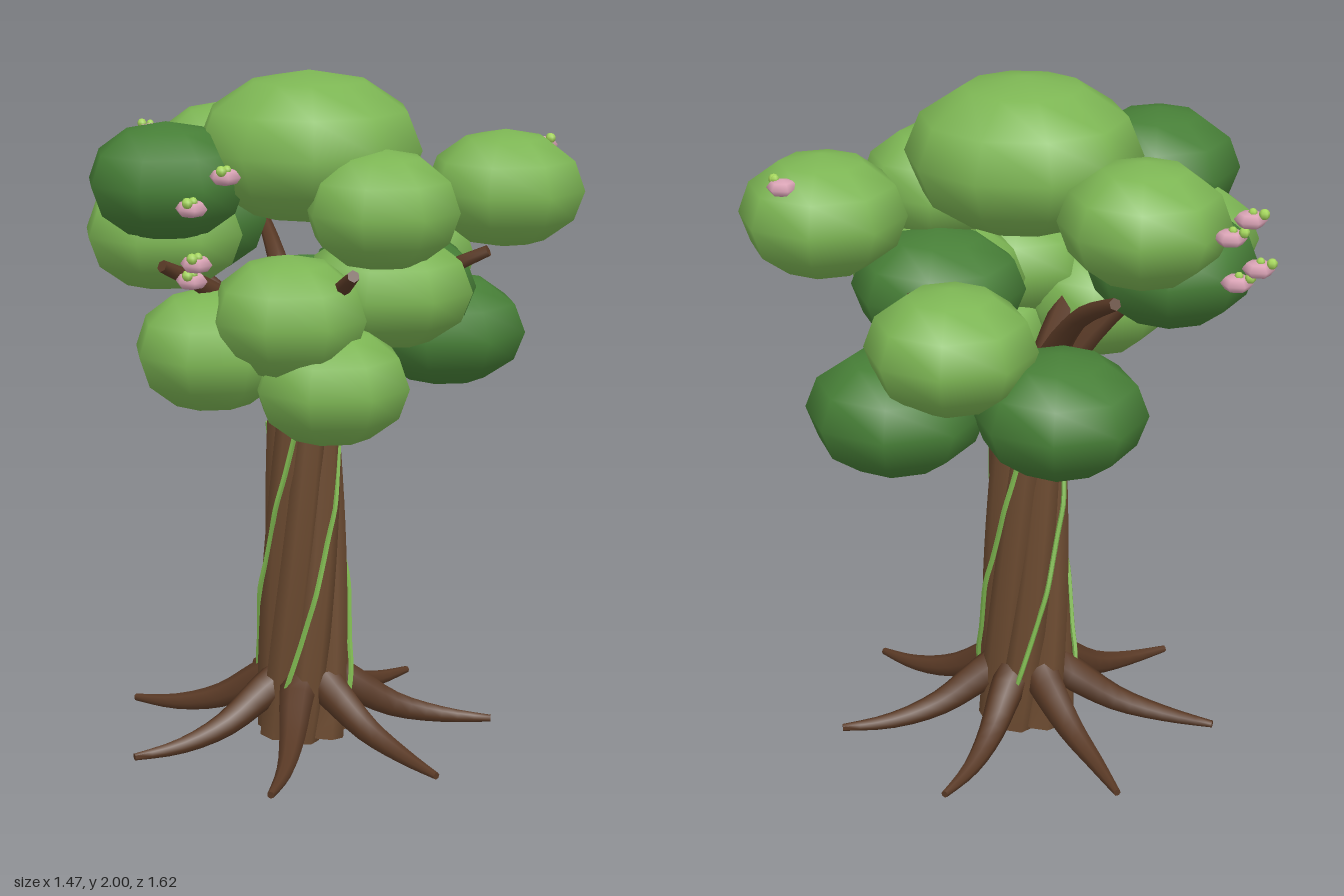
import * as THREE from 'three';
import { toCreasedNormals } from 'three/addons/utils/BufferGeometryUtils.js';

const mat = (color) => new THREE.MeshStandardMaterial({ color });
const bark = mat(0x6b4a30), rootBark = mat(0x5a3a26), leaf = mat(0x7db654), darkLeaf = mat(0x477f37);
const vineGreen = mat(0x7fb850), petal = mat(0xd9a3b5), budGreen = mat(0xa5d65c);

// Trunk axis
const CX = -0.05, CZ = -0.05;

// Point at an angle (0 = front, turning towards +x) and distance from the trunk axis
const polar = (angle, r, y) =>
  new THREE.Vector3(CX + Math.sin(angle) * r, y, CZ + Math.cos(angle) * r);

// Tapered tube with flat closed ends
function taperTube(points, r0, r1, segments, sides) {
  const curve = new THREE.CatmullRomCurve3(points);
  const geo = new THREE.TubeGeometry(curve, segments, 1, sides, false);
  const pos = geo.attributes.position;
  const v = new THREE.Vector3();
  for (let i = 0; i <= segments; i++) {
    const own = curve.getPointAt(i / segments);
    const end = i === 0 || i === segments;
    const centre = i === 0 ? curve.getPointAt(1 / segments)
      : i === segments ? curve.getPointAt(1 - 1 / segments) : own;
    const r = end ? 0 : THREE.MathUtils.lerp(r0, r1, i / segments);
    for (let j = 0; j <= sides; j++) {
      const k = i * (sides + 1) + j;
      v.fromBufferAttribute(pos, k).sub(own).multiplyScalar(r).add(centre);
      pos.setXYZ(k, v.x, v.y, v.z);
    }
  }
  return toCreasedNormals(geo, 1.1);
}

function add(parent, name, geo, material) {
  const mesh = new THREE.Mesh(geo, material);
  mesh.name = name;
  parent.add(mesh);
  return mesh;
}

function group(parent, name) {
  const g = new THREE.Group();
  g.name = name;
  parent.add(g);
  return g;
}

export function createModel() {
  const tree = new THREE.Group();
  tree.name = 'tree';

  // Trunk: twisted strands round a core
  const trunk = group(tree, 'trunk');
  add(trunk, 'trunkCore', new THREE.CylinderGeometry(0.075, 0.11, 1.1, 10).translate(CX, 0.57, CZ), bark);
  const strands = 7;
  for (let i = 0; i < strands; i++) {
    const pts = [];
    for (let k = 0; k <= 8; k++) {
      const t = k / 8;
      pts.push(polar((i / strands) * Math.PI * 2 + t * 1.8, 0.092 - 0.03 * t, -0.07 + 1.27 * t));
    }
    add(trunk, 'trunkStrand', taperTube(pts, 0.06, 0.042, 16, 7), bark);
  }

  // Roots spreading over the ground
  const roots = group(tree, 'roots');
  for (let i = 0; i < 7; i++) {
    const a = 0.1 + (i / 7) * Math.PI * 2;
    const pts = [polar(a, 0.05, 0.2), polar(a, 0.14, 0.15), polar(a + 0.04, 0.27, 0.075),
      polar(a + 0.04, 0.42, 0.035), polar(a, 0.62, 0.02)];
    add(roots, 'root', taperTube(pts, 0.062, 0.006, 12, 7), rootBark);
  }

  // Branches reaching into the crown
  const branches = group(tree, 'branches');
  for (let i = 0; i < 6; i++) {
    const a = Math.PI / 6 + (i / 6) * Math.PI * 2;
    const pts = [polar(a, 0.03, 0.92), polar(a, 0.08, 1.1), polar(a, 0.3, 1.37), polar(a, 0.61, 1.54)];
    add(branches, 'branch', taperTube(pts, 0.058, 0.014, 12, 6), rootBark);
  }

  // Vines winding up the trunk
  const vines = group(tree, 'vines');
  for (let i = 0; i < 4; i++) {
    const pts = [];
    for (let k = 0; k <= 10; k++) {
      const t = k / 10;
      pts.push(polar(i * Math.PI / 2 + 0.1 - (1 - t) * 1.9, 0.148 - 0.04 * t + 0.004 * Math.sin(k * 2), 0.12 + 0.87 * t));
    }
    add(vines, 'vine', taperTube(pts, 0.008, 0.008, 30, 5), vineGreen);
  }

  // Crown: x, y, z, radius, half height, dark
  const crown = group(tree, 'crown');
  const clumps = [
    [-0.04, 1.78, -0.07, 0.335, 0.22, 0],
    [0.22, 1.635, 0.1, 0.225, 0.172, 0],
    [0.21, 1.39, -0.01, 0.25, 0.172, 0],
    [0.2, 1.39, -0.1, 0.25, 0.172, 1],
    [0.495, 1.652, -0.27, 0.235, 0.172, 0],
    [0.11, 1.385, -0.575, 0.235, 0.172, 0],
    [0.27, 1.175, -0.5, 0.25, 0.172, 1],
    [-0.18, 1.2, -0.545, 0.24, 0.172, 1],
    [-0.39, 1.69, -0.39, 0.235, 0.172, 0],
    [-0.46, 1.53, -0.24, 0.24, 0.172, 1],
    [-0.46, 1.525, 0, 0.24, 0.172, 0],
    [-0.405, 1.695, 0.13, 0.235, 0.17, 1],
    [-0.23, 1.245, 0.27, 0.225, 0.175, 0],
    [0, 1.355, 0.285, 0.225, 0.175, 0],
    [0.11, 1.158, 0.24, 0.228, 0.172, 0],
  ];
  for (const [x, y, z, r, h, dark] of clumps) {
    const geo = new THREE.SphereGeometry(1, r > 0.3 ? 10 : 8, 6).scale(r, h, r);
    add(crown, 'leafClump', geo, dark ? darkLeaf : leaf).position.set(x, y, z);
  }

  // Blossoms: x, y, z, then outward x and z of the bud
  const blossoms = group(tree, 'blossoms');
  const spots = [
    [-0.09, 1.785, 0.57, 0, 1], [-0.13, 1.725, 0.735, 0.01, 1],
    [-0.11, 1.585, 0.76, 0, 1], [-0.14, 1.53, 0.71, 0, 1],
    [-0.67, 1.745, -0.5, -1, -0.4], [-0.62, 1.69, -0.49, -1, -0.4],
    [-0.695, 1.61, -0.5, -1, -0.4], [-0.64, 1.565, -0.49, -1, -0.4],
    [0.58, 1.765, -0.4, 0.7, 0.3],
  ];
  for (const [x, y, z, dx, dz] of spots) {
    const blossom = group(blossoms, 'blossom');
    blossom.position.set(x, y, z);
    add(blossom, 'petals', new THREE.SphereGeometry(0.044, 6, 4).scale(1, 0.55, 1), petal);
    add(blossom, 'bud', new THREE.SphereGeometry(0.015, 6, 5), budGreen)
      .position.set(dx * 0.035, 0.02, dz * 0.035);
    add(blossom, 'bud', new THREE.SphereGeometry(0.012, 6, 5), budGreen)
      .position.set(dx * 0.015 + 0.01, 0.022, dz * 0.015);
  }
  return tree;
}
